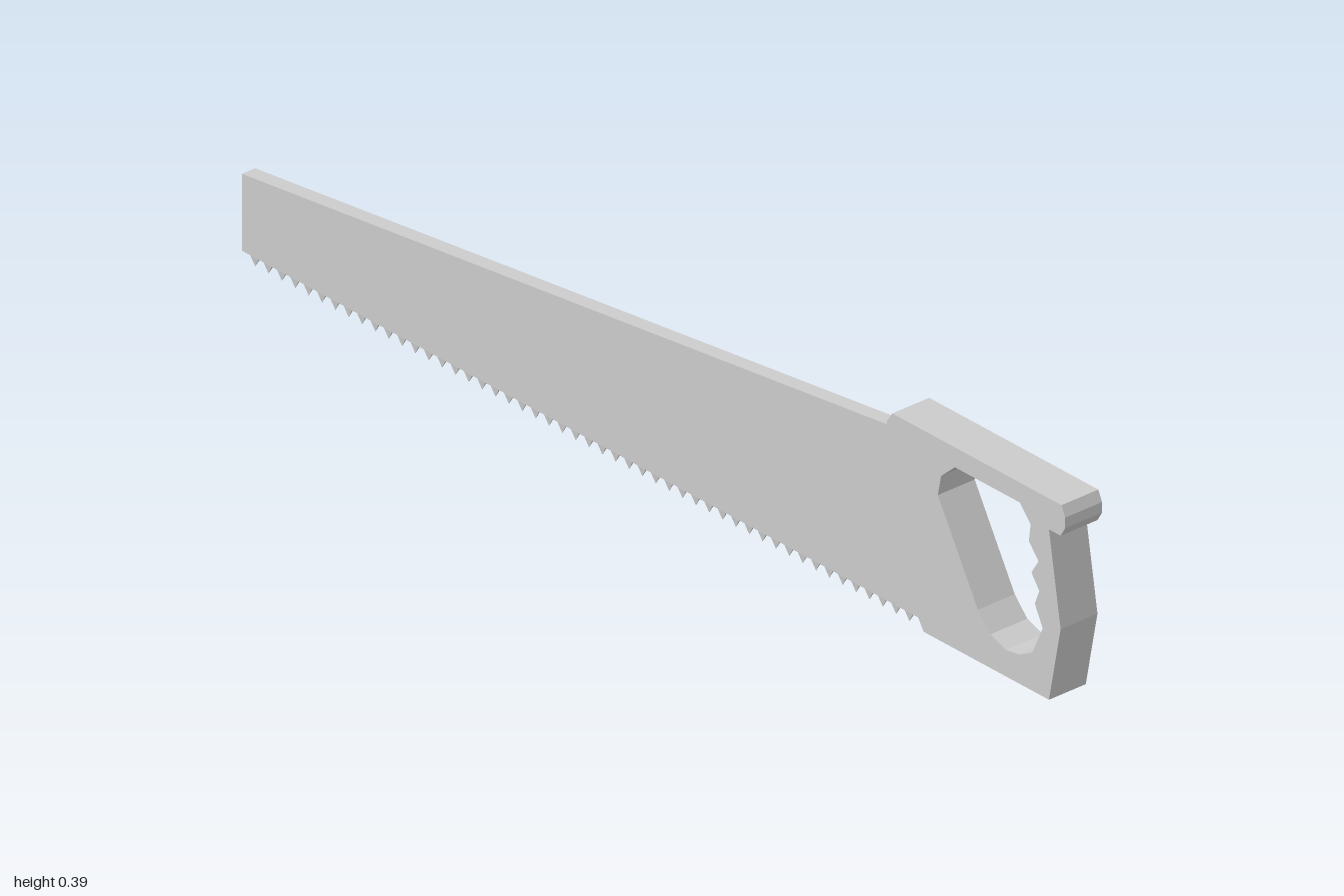
import * as THREE from 'three';
import { mergeGeometries } from 'three/addons/utils/BufferGeometryUtils.js';

const material = new THREE.MeshStandardMaterial({ color: 0xcccccc, flatShading: true });
const toPoints = (list) => list.map(([x, y]) => new THREE.Vector2(x, y));

// Flat outline extruded symmetrically about z = 0
function slab(name, outline, depth, hole) {
  const shape = new THREE.Shape(toPoints(outline));
  if (hole) shape.holes.push(new THREE.Path(toPoints(hole)));
  const geometry = new THREE.ExtrudeGeometry(shape, { depth, bevelEnabled: false });
  geometry.translate(0, 0, -depth / 2);
  const mesh = new THREE.Mesh(geometry, material);
  mesh.name = name;
  return mesh;
}

// Row of thin pointed teeth hanging below the blade
function createTeeth(count, startX, endX, height) {
  const pitch = (endX - startX) / count;
  const teeth = [];
  for (let i = 0; i < count; i++) {
    const tooth = new THREE.ConeGeometry(Math.SQRT1_2, height, 4);
    tooth.rotateY(Math.PI / 4);
    tooth.rotateX(Math.PI);
    tooth.scale(pitch, 1, 0.006);
    tooth.translate(startX + (i + 0.5) * pitch, height / 2, 0);
    teeth.push(tooth);
  }
  const mesh = new THREE.Mesh(mergeGeometries(teeth), material);
  mesh.name = 'teeth';
  return mesh;
}

export function createModel() {
  const saw = new THREE.Group();
  saw.name = 'handSaw';

  // Tapering blade, its heel hidden inside the handle
  saw.add(slab('blade', [
    [-1, 0.027], [0.658, 0.027], [0.6, 0.166], [0.6, 0.352], [-1, 0.166],
  ], 0.028));

  saw.add(createTeeth(52, -1, 0.662, 0.028));

  // Handle with a grip opening and finger notches
  const outline = [
    [0.66, 0.027], [0.96, 0.027], [0.988, 0.166], [0.96, 0.335], [0.988, 0.335],
    [0.999, 0.353], [0.999, 0.372], [0.99, 0.391], [0.585, 0.391], [0.572, 0.372],
    [0.572, 0.166],
  ];
  const opening = [
    [0.735, 0.355], [0.89, 0.355], [0.916, 0.326], [0.912, 0.294], [0.935, 0.267],
    [0.918, 0.24], [0.937, 0.214], [0.926, 0.187], [0.945, 0.15], [0.92, 0.096],
    [0.89, 0.08], [0.857, 0.075], [0.82, 0.088], [0.79, 0.12], [0.694, 0.288],
    [0.702, 0.326],
  ];
  saw.add(slab('handle', outline, 0.078, opening));

  return saw;
}
